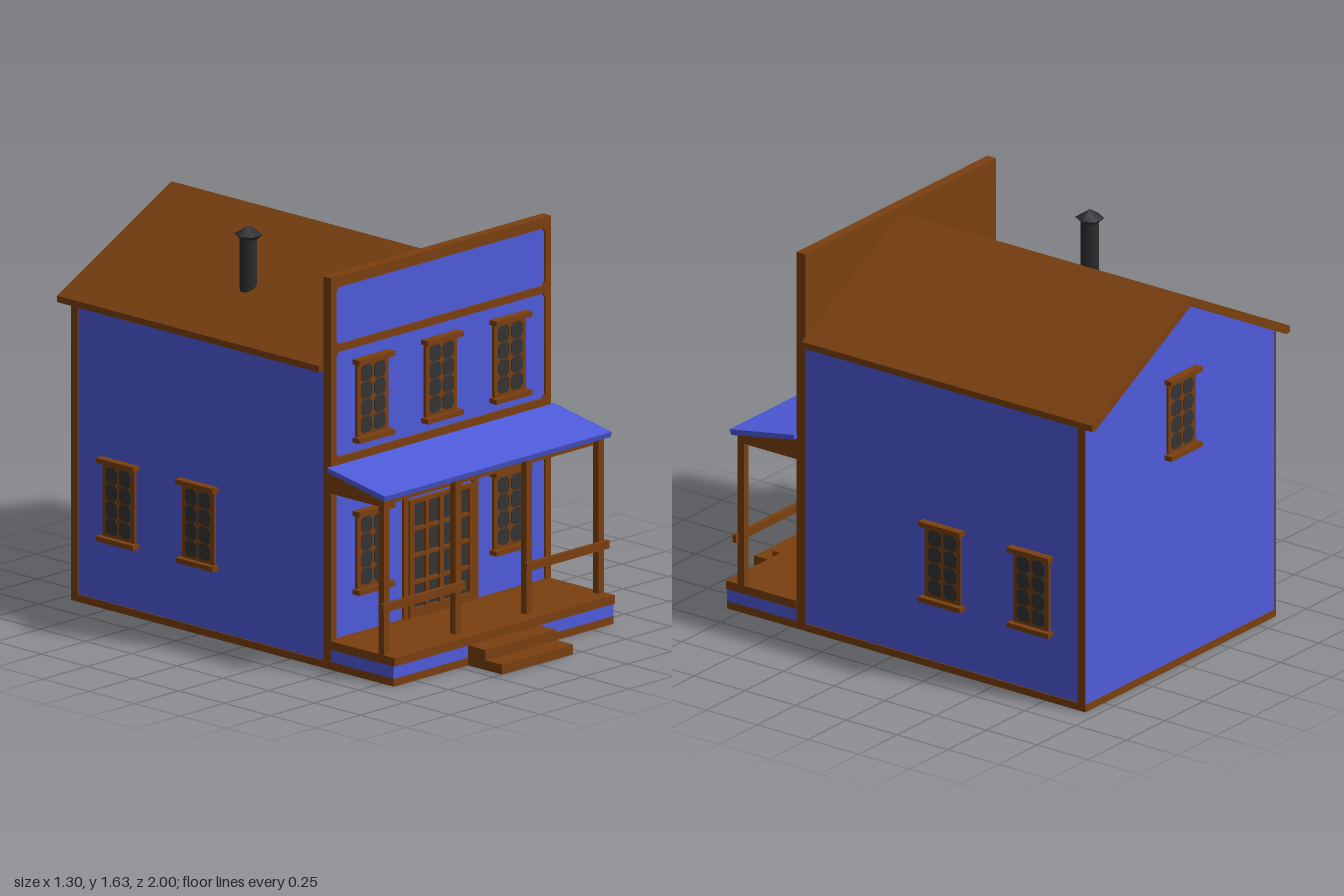
import * as THREE from 'three';

const mat = (name, color) => {
  const m = new THREE.MeshStandardMaterial({ color });
  m.name = name;
  return m;
};

export function createModel() {
  const root = new THREE.Group();
  root.name = 'storefrontHouse';
  const wood = mat('brownWood', 0x7a4010);
  const paint = mat('bluePaint', 0x4f5bdc);
  const glass = mat('darkGlass', 0x343434);
  const iron = mat('blackIron', 0x2a2c2e);

  const add = (name, geo, material, parent = root) => {
    const m = new THREE.Mesh(geo, material);
    m.name = name;
    parent.add(m);
    return m;
  };
  // Box given by its min and max on each axis
  const box = (name, material, x0, x1, y0, y1, z0, z1, parent = root) => {
    const g = new THREE.BoxGeometry(x1 - x0, y1 - y0, z1 - z0);
    g.translate((x0 + x1) / 2, (y0 + y1) / 2, (z0 + z1) / 2);
    return add(name, g, material, parent);
  };
  const poly = pts => pts.map(p => new THREE.Vector2(p[0], p[1]));
  // Rectangle with cut corners
  const cutRect = (x0, x1, y0, y1, c) => poly([
    [x0 + c, y0], [x1 - c, y0], [x1, y0 + c], [x1, y1 - c],
    [x1 - c, y1], [x0 + c, y1], [x0, y1 - c], [x0, y0 + c]]);
  const extrude = (pts, z0, z1, holes = []) => {
    const s = new THREE.Shape(pts);
    holes.forEach(h => s.holes.push(new THREE.Path(h)));
    const g = new THREE.ExtrudeGeometry(s, { depth: z1 - z0, bevelEnabled: false });
    return g.translate(0, 0, z0);
  };

  // House body with gable
  add('houseBody', extrude(poly([[-0.615, 0.02], [0.615, 0.02], [0.615, 1.215], [0, 1.53], [-0.615, 1.215]]), -0.947, 0.43), paint);
  box('baseTrim', wood, -0.62, 0.62, 0, 0.03, -0.95, 0.43);
  for (const s of [-1, 1]) {
    const x = s * 0.6165;
    box('cornerTrim', wood, x - 0.0035, x + 0.0035, 0.03, 1.21, -0.948, -0.912);
  }

  // Gable roof
  add('roof', extrude(poly([[-0.645, 1.212], [-0.62, 1.21], [0, 1.535], [0.62, 1.21], [0.645, 1.212], [0.645, 1.238], [0, 1.572], [-0.645, 1.238]]), -1, 0.43), wood);

  // Chimney pipe and cap
  const chimney = new THREE.Group();
  chimney.name = 'chimney';
  chimney.position.set(-0.375, 0, -0.217);
  chimney.rotation.y = Math.PI / 6;
  root.add(chimney);
  add('chimneyPipe', new THREE.CylinderGeometry(0.036, 0.036, 0.28, 8).translate(0, 1.44, 0), iron, chimney);
  add('chimneyCapTop', new THREE.ConeGeometry(0.058, 0.036, 6).translate(0, 1.609, 0), iron, chimney);
  add('chimneyCapBase', new THREE.CylinderGeometry(0.058, 0.036, 0.018, 6).translate(0, 1.582, 0), iron, chimney);

  // False front: backing, painted panels, frame
  box('frontBacking', wood, -0.62, 0.62, 0, 1.6, 0.43, 0.455);
  box('frontPanels', paint, -0.6, 0.6, 0.1, 1.57, 0.455, 0.463);
  add('frontFrame', extrude(
    poly([[-0.62, 0], [0.62, 0], [0.62, 1.6], [-0.62, 1.6]]), 0.455, 0.473, [
      cutRect(-0.59, 0.59, 1.32, 1.555, 0.015),
      cutRect(-0.59, 0.59, 0.86, 1.29, 0.015),
      cutRect(-0.59, -0.21, 0.12, 0.72, 0.004),
      cutRect(0.21, 0.59, 0.12, 0.72, 0.004),
      cutRect(-0.18, 0.18, 0.6, 0.72, 0.002),
      cutRect(-0.165, 0.16, 0.155, 0.585, 0.002),
    ]), wood);

  // Double door with panes
  const door = new THREE.Group();
  door.name = 'doubleDoor';
  root.add(door);
  box('doorGlass', glass, -0.168, 0.165, 0.15, 0.59, 0.46, 0.465, door);
  add('doorFrame', extrude(cutRect(-0.185, 0.185, 0.12, 0.6, 0.001), 0.47, 0.482,
    [cutRect(-0.16, 0.155, 0.155, 0.585, 0.006)]), wood, door);
  for (const [x, w] of [[-0.083, 0.008], [-0.002, 0.012], [0.079, 0.008]])
    box('doorUpright', wood, x - w, x + w, 0.15, 0.59, 0.465, 0.48, door);
  for (const y of [0.26, 0.37, 0.478])
    box('doorCrossbar', wood, -0.165, 0.16, y - 0.007, y + 0.007, 0.465, 0.479, door);

  // Window facing +z, standing on its sill
  const makeWindow = (x, y, z, turn) => {
    const w = new THREE.Group();
    w.name = 'window';
    w.position.set(x, y, z);
    w.rotation.y = turn;
    root.add(w);
    box('windowFrame', wood, -0.088, 0.088, 0.02, 0.32, -0.005, 0.012, w);
    box('windowSill', wood, -0.102, 0.102, 0, 0.02, -0.005, 0.036, w);
    box('windowHead', wood, -0.102, 0.102, 0.32, 0.34, -0.005, 0.036, w);
    for (const cx of [-0.037, 0.037])
      for (let r = 0; r < 4; r++) {
        const y0 = 0.03 + r * 0.07;
        add('windowPane', extrude(cutRect(cx - 0.032, cx + 0.032, y0 + 0.002, y0 + 0.068, 0.014), 0.012, 0.014), glass, w);
      }
  };
  for (const x of [-0.387, 0, 0.387]) makeWindow(x, 0.9, 0.464, 0);
  for (const x of [-0.387, 0.387]) makeWindow(x, 0.28, 0.464, 0);
  for (const z of [-0.25, -0.685])
    for (const s of [-1, 1]) makeWindow(s * 0.613, 0.28, z, s * Math.PI / 2);
  makeWindow(0, 0.9, -0.945, Math.PI);

  // Porch base, deck and steps
  box('porchFooting', wood, -0.62, 0.62, 0, 0.032, 0.47, 0.815);
  box('porchSkirt', paint, -0.62, 0.62, 0.032, 0.085, 0.473, 0.815);
  box('porchDeck', wood, -0.622, 0.622, 0.083, 0.118, 0.473, 0.82);
  box('lowerStep', wood, -0.2, 0.2, 0, 0.04, 0.81, 1);
  box('upperStep', wood, -0.2, 0.2, 0.04, 0.082, 0.81, 0.91);

  // Side-profile extrusion: points are (z, y), swept along x
  const sideProfile = (name, pts, half, material) => {
    const g = extrude(poly(pts.map(([z, y]) => [-z, y])), -half, half);
    return add(name, g.rotateY(Math.PI / 2), material);
  };
  sideProfile('porchCeiling', [[0.47, 0.72], [0.735, 0.72], [0.735, 0.765], [0.47, 0.812]], 0.62, wood);
  sideProfile('porchRoof', [[0.47, 0.81], [0.78, 0.752], [0.788, 0.775], [0.47, 0.83]], 0.64, paint);

  // Posts and front rails
  for (const x of [-0.605, -0.2, 0.2, 0.605])
    box('porchPost', wood, x - 0.016, x + 0.016, 0.11, 0.762, 0.732, 0.762);
  for (const s of [-1, 1]) {
    const x = s * 0.405;
    box('porchRail', wood, x - 0.232, x + 0.232, 0.297, 0.33, 0.758, 0.776);
  }
  return root;
}
